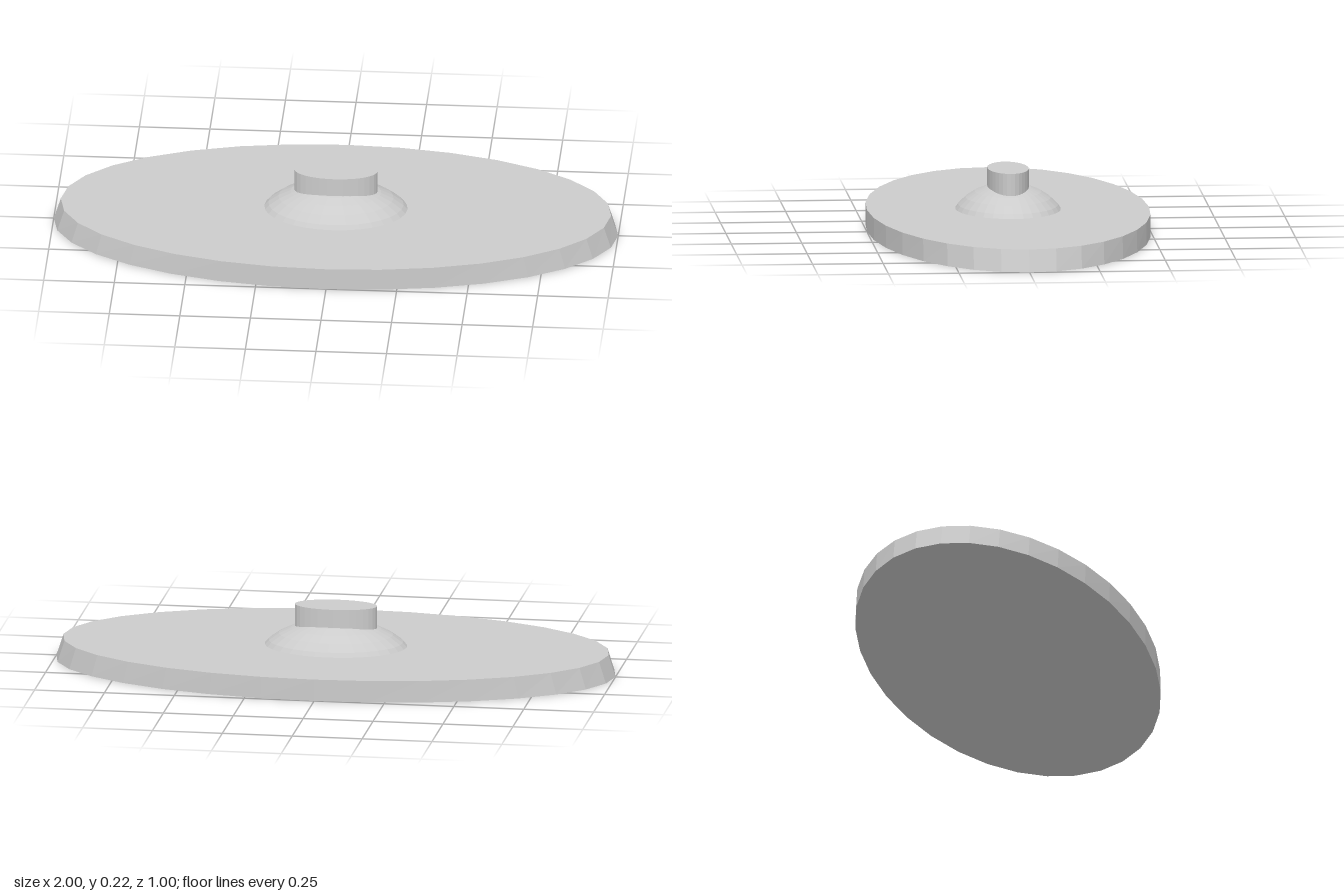
import * as THREE from 'three';

const SIDES = 32;

export function createModel() {
  const model = new THREE.Group();
  const material = new THREE.MeshStandardMaterial({ color: 0xcccccc, flatShading: true });

  const add = (name, geometry) => {
    const mesh = new THREE.Mesh(geometry, material);
    mesh.name = name;
    model.add(mesh);
  };

  // Upright elliptical disc from y0 to y1; topX narrows the upper rim along x only
  const ellipticDisc = (rx, rz, y0, y1, topX = rx) => {
    const geometry = new THREE.CylinderGeometry(1, 1, y1 - y0, SIDES);
    geometry.translate(0, (y0 + y1) / 2, 0);
    const p = geometry.attributes.position;
    const middle = (y0 + y1) / 2;
    for (let i = 0; i < p.count; i++) {
      p.setX(i, p.getX(i) * (p.getY(i) > middle ? topX : rx));
      p.setZ(i, p.getZ(i) * rz);
    }
    geometry.computeVertexNormals();
    return geometry;
  };

  // Broad oval plate with ends that lean inward
  add('basePlate', ellipticDisc(1, 0.5, 0, 0.078, 0.975));

  // Cap of an ellipsoid whose lower edge is sunk into the plate
  const dome = new THREE.SphereGeometry(1, SIDES, 6, 0, Math.PI * 2, 0, Math.PI * 0.375);
  dome.scale(0.288, 0.168, 0.212);
  add('dome', dome);

  // Oval stem rising out of the dome
  add('stem', ellipticDisc(0.147, 0.073, 0.09, 0.223));

  return model;
}
